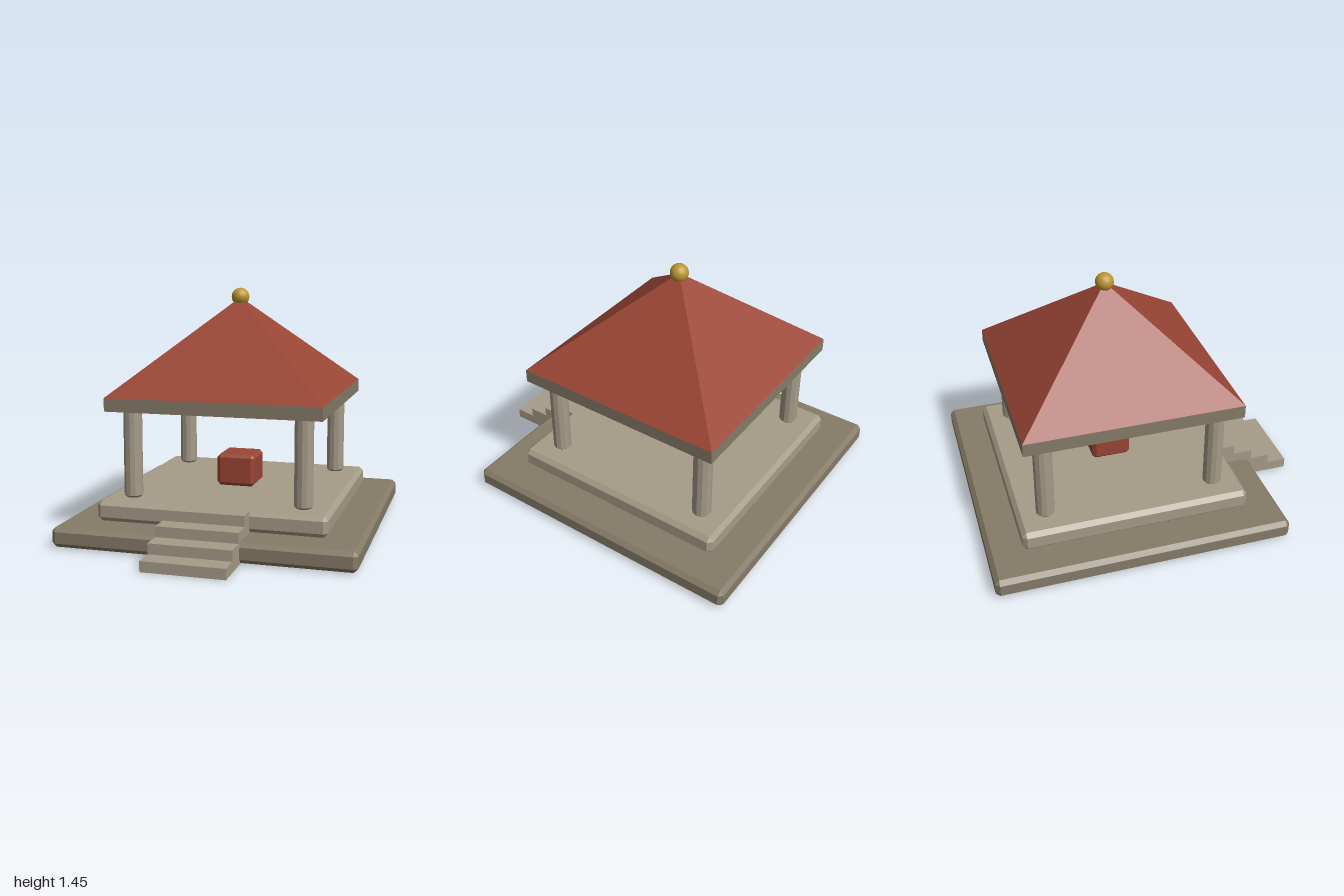
import * as THREE from 'three';
import { ConvexGeometry } from 'three/addons/geometries/ConvexGeometry.js';

const CZ = -0.127; // centre of the pavilion; the stairs reach forward to z = 1

const material = (name, color, flatShading = true) => {
  const m = new THREE.MeshStandardMaterial({ color, flatShading });
  m.name = name;
  return m;
};

// Box with every edge cut by a chamfer c
function chamferBox(w, h, d, c) {
  const points = [];
  for (const x of [-1, 1]) for (const y of [-1, 1]) for (const z of [-1, 1]) {
    for (let axis = 0; axis < 3; axis++) {
      const inset = [c, c, c];
      inset[axis] = 0;
      points.push(new THREE.Vector3(
        x * (w / 2 - inset[0]), y * (h / 2 - inset[1]), z * (d / 2 - inset[2])));
    }
  }
  return new ConvexGeometry(points);
}

export function createModel() {
  const group = new THREE.Group();
  group.name = 'pavilion';
  const darkStone = material('dark stone', 0x857b68);
  const lightStone = material('light stone', 0xa59c88);
  const red = material('red', 0x9a4535);
  const gold = material('gold', 0xbd9630, false);

  const add = (name, geometry, mat, x, y, z) => {
    const mesh = new THREE.Mesh(geometry, mat);
    mesh.name = name;
    mesh.position.set(x, y, z);
    group.add(mesh);
    return mesh;
  };

  // Two stepped platforms
  add('lowerPlatform', chamferBox(1.745, 0.117, 1.745, 0.025), darkStone, 0, 0.0625, CZ);
  add('upperPlatform', chamferBox(1.35, 0.12, 1.35, 0.025), lightStone, 0, 0.181, CZ);

  // Stairs: one stepped side profile pulled across the width
  const steps = 4, rise = 0.0605, tread = 0.12, width = 0.472;
  const profile = new THREE.Shape();
  profile.moveTo(0, 0);
  for (let i = 0; i < steps; i++) {
    profile.lineTo(-i * tread, (i + 1) * rise);
    profile.lineTo(-(i + 1) * tread, (i + 1) * rise);
  }
  profile.lineTo(-steps * tread, 0);
  const stairs = new THREE.ExtrudeGeometry(profile, { depth: width, bevelEnabled: false });
  stairs.rotateY(-Math.PI / 2);
  add('stairs', stairs, lightStone, width / 2, 0, 1);

  // Four columns with chamfered ends
  const column = new THREE.LatheGeometry([
    [0, 0], [0.043, 0], [0.055, 0.012], [0.055, 0.504], [0.043, 0.516], [0, 0.516],
  ].map(([r, y]) => new THREE.Vector2(r, y)), 12);
  for (const x of [-0.508, 0.508]) for (const z of [-0.508, 0.508]) {
    add('column', column, lightStone, x, 0.241, CZ + z);
  }

  // Chest in the middle
  add('chest', chamferBox(0.236, 0.196, 0.236, 0.02), red, 0, 0.34, CZ);

  // Eave slab, pyramid roof and ball finial
  const side = 1.268;
  add('eaveSlab', new THREE.BoxGeometry(side, 0.078, side), darkStone, 0, 0.796, CZ);
  const roof = new THREE.ConeGeometry(side / Math.SQRT2, 0.555, 4, 1);
  roof.rotateY(Math.PI / 4);
  add('roof', roof, red, 0, 0.835 + 0.555 / 2, CZ);
  add('finial', new THREE.SphereGeometry(0.054, 16, 12), gold, 0, 1.393, CZ);

  return group;
}
